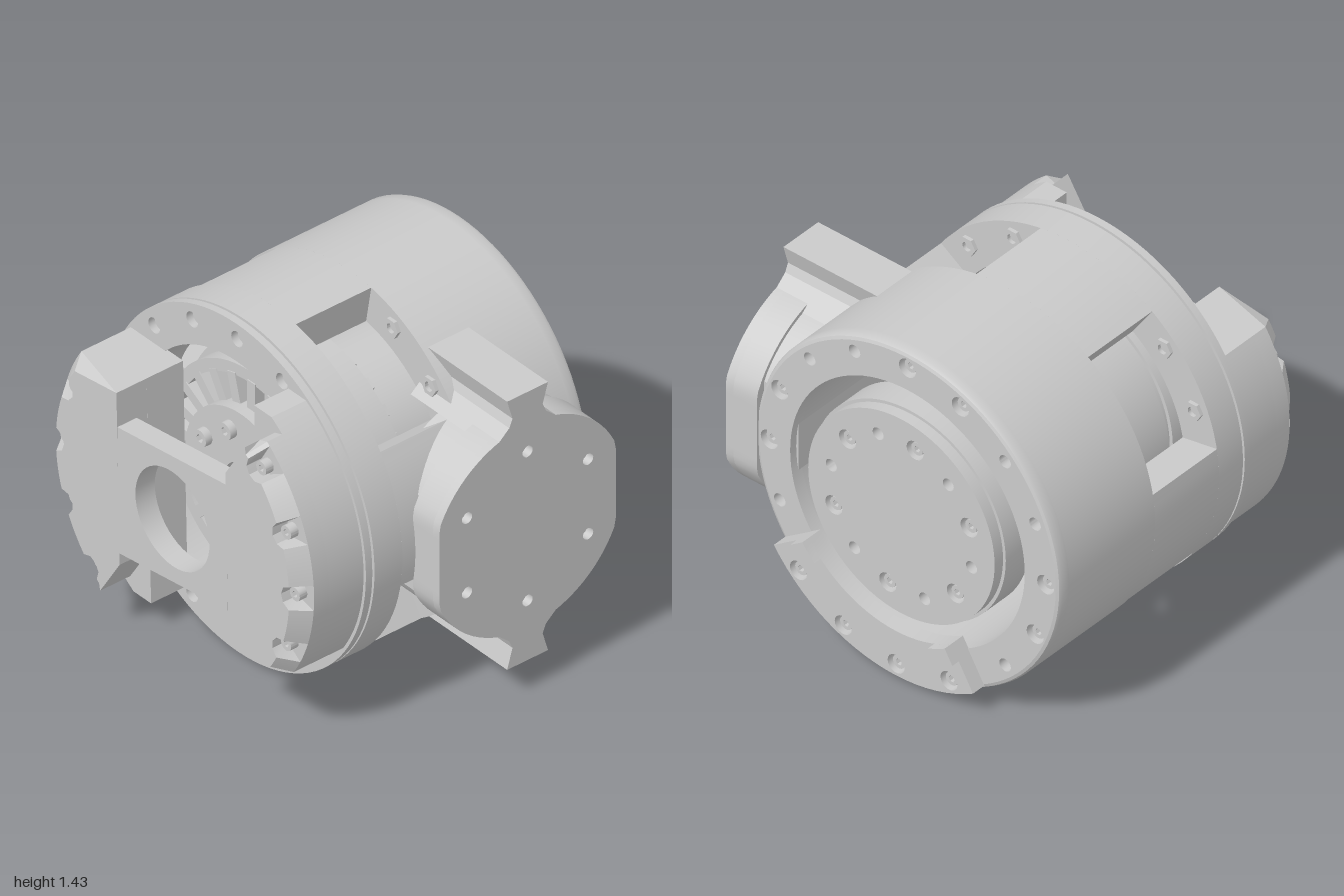
import * as THREE from 'three';
import { toCreasedNormals } from 'three/addons/utils/BufferGeometryUtils.js';

const RAD = Math.PI / 180;
const R = 0.713;          // outer radius of the housing
const BOLT_R = 0.648;     // bolt circle of the housing
const STEP = 22.5;

export function createModel() {
  const metal = new THREE.MeshStandardMaterial({ color: 0xcacaca });
  metal.name = 'machined grey metal';

  const root = new THREE.Group();
  root.name = 'actuatorHousing';
  // Main axis is local z, turned 45 degrees to the frame
  const body = new THREE.Group();
  body.name = 'housingAssembly';
  body.rotation.y = -Math.PI / 4;
  body.position.set(-0.025, R, -0.025);
  root.add(body);

  const add = (name, geo, parent = body) => {
    const m = new THREE.Mesh(geo, metal);
    m.name = name;
    parent.add(m);
    return m;
  };
  const vec = (list) => list.map(p => new THREE.Vector2(...p));
  const polar = (r, deg) => new THREE.Vector2(r * Math.cos(deg * RAD), r * Math.sin(deg * RAD));
  const ngon = (n, r, x = 0, y = 0) =>
    Array.from({ length: n }, (_, i) => polar(r, i * 360 / n).add(new THREE.Vector2(x, y)));
  const hole = (shape, r, c, n = 18) => shape.holes.push(new THREE.Path(ngon(n, r, c.x, c.y)));
  const smooth = (g) => toCreasedNormals(g, 0.45);
  const extrude = (shape, z0, z1) => {
    const g = new THREE.ExtrudeGeometry(shape, { depth: z1 - z0, bevelEnabled: false });
    return smooth(g.translate(0, 0, z0));
  };
  const lathe = (profile) => smooth(new THREE.LatheGeometry(vec(profile), 96).rotateX(Math.PI / 2));
  const ring = (r0, r1) => {
    const s = new THREE.Shape(ngon(96, r1));
    if (r0 > 0) hole(s, r0, new THREE.Vector2(), 96);
    return s;
  };
  const sector = (r0, r1, a0, a1) => {
    const n = Math.ceil((a1 - a0) / 4), pts = [];
    for (let i = 0; i <= n; i++) pts.push(polar(r1, a0 + (a1 - a0) * i / n));
    for (let i = n; i >= 0; i--) pts.push(polar(r0, a0 + (a1 - a0) * i / n));
    return new THREE.Shape(pts);
  };
  // Socket head screw or nut: short prism with a pierced centre
  const fastener = (name, sides, r, p, z0, z1) => {
    const s = new THREE.Shape(ngon(sides, r));
    hole(s, r * 0.5, new THREE.Vector2(), sides === 6 ? 14 : 6);
    add(name, extrude(s, z0, z1).translate(p.x, p.y, 0));
  };

  // Rear half of the housing, its rim and its drilled face
  add('rearHousing', lathe([[0.55, -0.55], [R, -0.55], [R, -0.08], [0.55, -0.08], [0.55, -0.55]]));
  add('rearRim', lathe([[0.695, -0.603], [0.707, -0.598], [R, -0.585], [R, -0.55]]));
  const small = (i) => i % 4 >= 2;
  const rearFace = ring(0.55, 0.695);
  for (let i = 0; i < 16; i++) hole(rearFace, small(i) ? 0.027 : 0.04, polar(BOLT_R, i * STEP));
  add('rearFaceRing', extrude(rearFace, -0.603, -0.549));

  // Four posts leave four windows between the two housing halves
  for (let k = 0; k < 4; k++) {
    const c = 12 + 90 * k;
    add('windowPost', extrude(sector(0.55, R, c - 22, c + 22), -0.08, 0.27));
  }

  // Front flange with a narrow groove and drilled face
  add('frontFlange', extrude(ring(0.55, R), 0.27, 0.4));
  add('flangeGroove', extrude(ring(0.55, 0.7), 0.4, 0.41));
  const frontFace = ring(0.55, R);
  for (let i = 0; i < 16; i++) hole(frontFace, 0.032, polar(BOLT_R, i * STEP));
  add('frontFaceRing', extrude(frontFace, 0.41, 0.44));

  // Screws in the rear face, nuts showing inside the windows
  for (let i = 0; i < 16; i++) {
    const a = i * STEP, p = polar(BOLT_R, a);
    if (!small(i)) fastener('rearScrew', 18, 0.028, p, -0.585, -0.549);
    if (Math.abs(((a - 57 + 405) % 90) - 45) < 20) {
      fastener('windowNut', 6, 0.04, p, -0.08, -0.065);
      fastener('windowNut', 6, 0.04, p, 0.255, 0.27);
    }
  }

  // Inner machinery: core, drum, toothed rings and hub
  add('innerCore', extrude(ring(0.2, 0.36), -0.48, 0.06));
  add('innerDrum', extrude(ring(0.22, 0.5), 0.05, 0.25));
  add('drumFront', extrude(ring(0.22, 0.455), 0.25, 0.33));
  add('drumRim', extrude(ring(0.42, 0.47), 0.3, 0.37));
  add('hub', extrude(ring(0.09, 0.31), 0.3, 0.42));
  for (let i = 0; i < 24; i++) {
    const p = polar(0.365, i * 15);
    for (const z of [0.025, 0.345]) {
      const tooth = add('coilTooth', new THREE.BoxGeometry(0.13, 0.045, 0.06));
      tooth.position.set(p.x, p.y, z);
      tooth.rotation.z = i * 15 * RAD;
    }
  }
  for (let i = 0; i < 8; i++) fastener('hubScrew', 18, 0.035, polar(0.225, i * 45 + 15), 0.42, 0.45);

  // Rear output disc with alternating screws and plain holes
  const disc = ring(0, 0.437);
  for (let i = 0; i < 12; i++) {
    const p = polar(0.335, 41 + 30 * i);
    hole(disc, i % 2 ? 0.026 : 0.04, p);
    if (i % 2 === 0) fastener('outputScrew', 18, 0.027, p, -0.625, -0.585);
  }
  add('outputDisc', extrude(disc, -0.636, -0.585));
  add('outputDiscBody', extrude(ring(0, 0.45), -0.59, -0.46));

  // Arc shaped clamp across the bottom of the rear face
  const clamp = sector(0.5, 0.7, -121, -35);
  for (let i = 0; i < 4; i++) {
    const p = polar(BOLT_R, -45 - i * STEP);
    hole(clamp, 0.04, p);
    fastener('clampScrew', 18, 0.028, p, -0.65, -0.6);
  }
  add('rearClamp', extrude(clamp, -0.665, -0.6));
  for (const a of [-118, -42]) add('clampEnd', extrude(sector(0.5, 0.57, a - 3, a + 7), -0.7, -0.66));

  // Front bracket: two opposite legs, each with a chamfered, notched and bolted cap
  const legBolts = [-22.5, 0, 22.5, 45];
  const legShape = (end, notched, inner) => {
    const pts = [];
    for (let a = -33; a <= end; a += 1.5) {
      const d = Math.min(...legBolts.map(b => Math.abs(a - b)));
      pts.push(polar(notched && d < 3.2 ? 0.6 + d * 0.004 : 0.7, a));
    }
    return new THREE.Shape([...pts, ...vec(inner), new THREE.Vector2(0.31, -0.381)]);
  };
  const clippedCorner = [[0.4, 0.53], [0.293, 0.36]];
  for (const turn of [0, 180]) {
    const leg = new THREE.Group();
    leg.name = 'bracketLeg';
    leg.rotation.z = turn * RAD;
    body.add(leg);
    add('legBlock', extrude(legShape(57, false, [[0.285, 0.587]]), 0.43, 0.6), leg);
    add('legShoulder', extrude(legShape(51, false, clippedCorner), 0.6, 0.67), leg);
    const cap = extrude(legShape(51, true, clippedCorner), 0.67, 0.74), v = cap.attributes.position;
    for (let i = 0; i < v.count; i++) {
      const r = Math.hypot(v.getX(i), v.getY(i));
      if (v.getZ(i) > 0.7 && r > 0.67) v.setXY(i, v.getX(i) * 0.645 / r, v.getY(i) * 0.645 / r);
    }
    add('legCap', smooth(cap), leg);
    for (const a of legBolts) fastener('bracketScrew', 18, 0.028, polar(0.635, a + turn), 0.67, 0.705);
  }

  // Thin bridge joining the legs, with a round opening
  const bridge = new THREE.Shape(vec([[0.297, 0.31], [-0.305, 0.235], [-0.297, -0.31], [0.305, -0.235]]));
  hole(bridge, 0.205, new THREE.Vector2(), 48);
  add('bracketBridge', extrude(bridge, 0.65, 0.74));

  // Side port: clipped round boss on a narrower neck, with six holes
  const port = new THREE.Group();
  port.name = 'sidePort';
  port.rotation.y = Math.PI / 2;
  port.position.z = -0.2;
  body.add(port);
  const clipped = (r, half) => new THREE.Shape(ngon(72, r)
    .map(p => new THREE.Vector2(THREE.MathUtils.clamp(p.x, -half, half), p.y)));
  add('portNeck', extrude(clipped(0.43, 0.37), 0.54, 0.7), port);
  add('portBoss', extrude(clipped(0.445, 0.41), 0.7, 0.81), port);
  const face = clipped(0.445, 0.41);
  for (let i = 0; i < 6; i++) hole(face, 0.024, polar(0.325, 30 + 60 * i));
  add('portFace', extrude(face, 0.81, 0.846), port);

  // Flared ribs above and below the port, running back into the housing
  const rib = new THREE.Shape(vec([[-0.16, 0.4], [0.16, 0.4], [0.085, 0.465], [0.07, 0.5],
    [0.095, 0.585], [-0.095, 0.585], [-0.07, 0.5], [-0.085, 0.465]]));
  for (const turn of [0, Math.PI]) add('portRib', extrude(rib, 0.39, 0.846), port).rotation.z = turn;

  return root;
}
